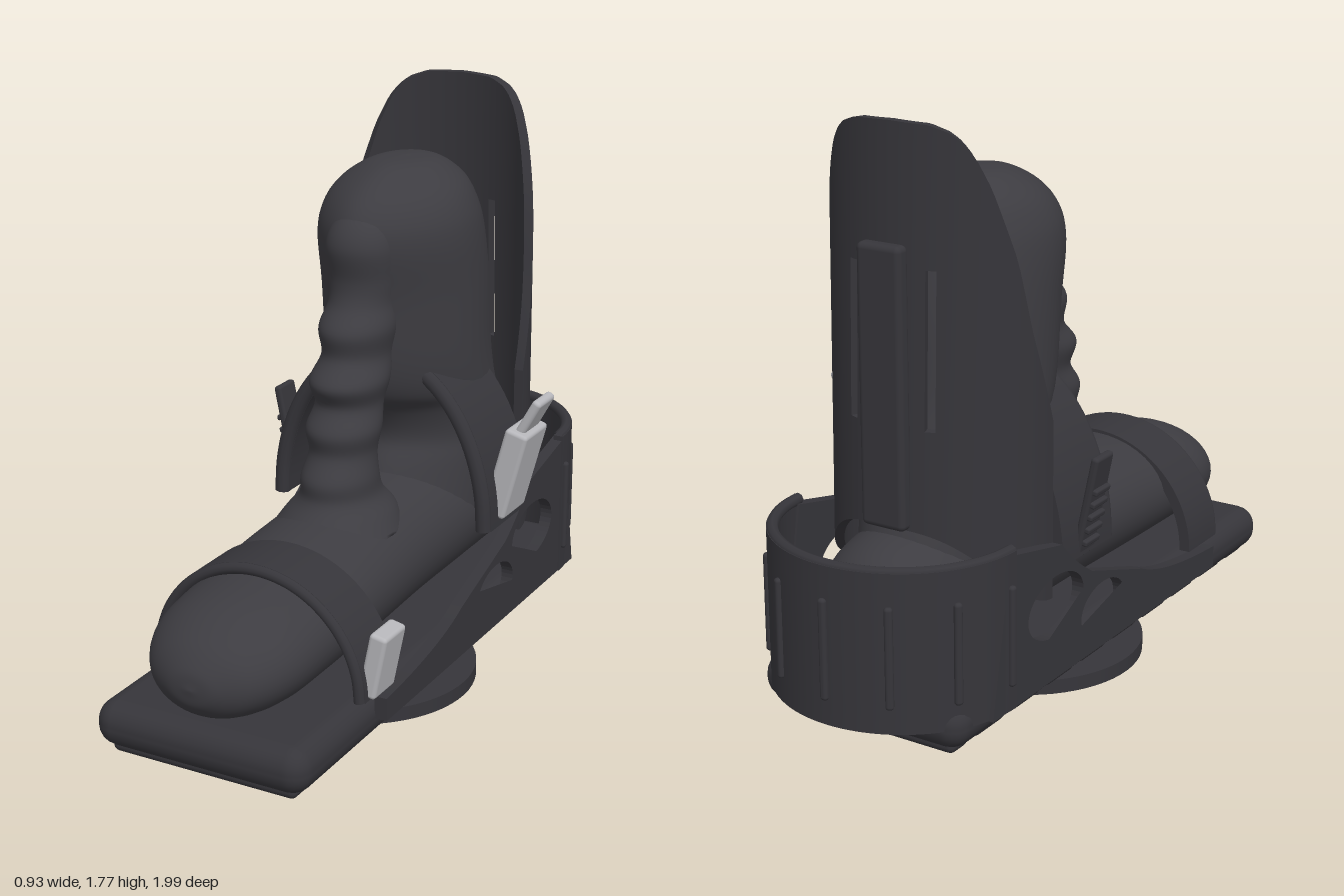
import * as THREE from 'three';
import { mergeVertices } from 'three/addons/utils/BufferGeometryUtils.js';
import { RoundedBoxGeometry } from 'three/addons/geometries/RoundedBoxGeometry.js';

const CX = -0.035; // centre line of the binding

const mat = (name, color) => {
  const m = new THREE.MeshStandardMaterial({ color });
  m.name = name;
  return m;
};

// Smooth closed skin through elliptical sections [position, half width, low, high].
function loft(sections, place, rows = 64, sides = 40) {
  const a = new THREE.CatmullRomCurve3(sections.map(s => new THREE.Vector3(s[0], s[1], 0)), false, 'catmullrom', 0.5);
  const b = new THREE.CatmullRomCurve3(sections.map(s => new THREE.Vector3(s[2], s[3], 0)), false, 'catmullrom', 0.5);
  const pos = [], idx = [];
  for (let j = 0; j <= rows; j++) {
    const p = a.getPoint(j / rows), q = b.getPoint(j / rows);
    for (let i = 0; i < sides; i++) {
      const t = (i / sides) * Math.PI * 2;
      pos.push(...place(p.x, Math.cos(t) * p.y, (q.x + q.y) / 2 + Math.sin(t) * (q.y - q.x) / 2, Math.sin(t)));
      if (j < rows) {
        const k = (i + 1) % sides, r = j * sides;
        idx.push(r + i, r + k, r + sides + i, r + k, r + sides + k, r + sides + i);
      }
    }
  }
  // close both ends
  for (let i = 1; i < sides - 1; i++) {
    const r = rows * sides;
    idx.push(0, i + 1, i, r, r + i, r + i + 1);
  }
  const g = new THREE.BufferGeometry();
  g.setAttribute('position', new THREE.Float32BufferAttribute(pos, 3));
  g.setIndex(idx);
  g.computeVertexNormals();
  return g;
}

// Slab bent by rule f(u, v, s), u and v along the sheet, s from inside to outside.
function slab(nu, nv, f) {
  const g = new THREE.BoxGeometry(1, 1, 1, nu, nv, 1), p = g.attributes.position;
  for (let i = 0; i < p.count; i++) p.setXYZ(i, ...f(p.getX(i) + 0.5, p.getY(i) + 0.5, p.getZ(i) + 0.5));
  g.deleteAttribute('uv');
  const out = mergeVertices(g);
  out.computeVertexNormals();
  return out;
}

function lerpTable(table, x) {
  for (let i = 1; i < table.length; i++) {
    const [x0, y0] = table[i - 1], [x1, y1] = table[i];
    if (x <= x1) return y0 + (y1 - y0) * (x - x0) / (x1 - x0);
  }
  return table[table.length - 1][1];
}

export function createModel() {
  const root = new THREE.Group();
  root.name = 'bootInBinding';
  const boot = mat('charcoal boot', 0x3d3c41);
  const frame = mat('dark plastic', 0x36353a);
  const silver = mat('silver', 0xb6b6ba);

  const add = (name, geo, material, x = 0, y = 0, z = 0, rz = 0) => {
    const m = new THREE.Mesh(geo, material);
    m.name = name;
    m.position.set(x, y, z);
    m.rotation.z = rz;
    root.add(m);
    return m;
  };
  const block = (name, w, h, d, r, material, x, y, z, rz) =>
    add(name, new RoundedBoxGeometry(w, h, d, 3, r), material, x, y, z, rz);

  // Mounting disc
  add('mountingDisc', new THREE.CylinderGeometry(0.365, 0.365, 0.045, 64), frame, CX, 0.0225, 0.045);

  // Base plate with treads
  block('basePlate', 0.69, 0.14, 1.84, 0.065, frame, CX, 0.16, 0.07);
  const gaps = [0.97, 0.81, 0.62, 0.43, 0.24, 0.05, -0.14, -0.33, -0.52, -0.71, -0.83];
  for (let i = 1; i < gaps.length; i++) {
    const d = gaps[i - 1] - gaps[i] - 0.035;
    block('tread', 0.6, 0.07, d, 0.02, frame, CX, 0.105, (gaps[i - 1] + gaps[i]) / 2);
  }

  // Side rails with two oval windows
  const rail = new THREE.Shape();
  rail.moveTo(0.575, 0.16);
  rail.lineTo(0.575, 0.23);
  rail.quadraticCurveTo(0.25, 0.25, 0.1, 0.32);
  rail.lineTo(-0.2, 0.42);
  rail.quadraticCurveTo(-0.3, 0.48, -0.37, 0.56);
  rail.lineTo(-0.64, 0.62);
  rail.lineTo(-0.73, 0.16);
  rail.closePath();
  for (const [z, y, rx, ry] of [[-0.135, 0.285, 0.125, 0.08], [-0.4, 0.385, 0.15, 0.092]]) {
    const hole = new THREE.Path();
    hole.absellipse(z, y, rx, ry, 0, Math.PI * 2, true);
    rail.holes.push(hole);
  }
  const railGeo = new THREE.ExtrudeGeometry(rail, { depth: 0.038, bevelEnabled: false, curveSegments: 20 });
  railGeo.rotateY(-Math.PI / 2);
  for (const s of [-1, 1]) add(s > 0 ? 'leftRail' : 'rightRail', railGeo, frame, CX + s * 0.361 + 0.019, 0, 0);

  // Heel cup with upright ribs
  add('heelCup', slab(48, 8, (u, v, s) => {
    const t = (u - 0.5) * Math.PI, r = 0.352 + 0.032 * s;
    return [CX - r * Math.sin(t), 0.16 + 0.47 * v, -0.615 - (r - 0.015) * Math.cos(t)];
  }), frame);
  const cupPoint = (t, r) => [CX + r * Math.sin(t), -0.615 - (r - 0.015) * Math.cos(t)];
  add('heelCupRim', new THREE.TubeGeometry(new THREE.CatmullRomCurve3(
    Array.from({ length: 17 }, (_, i) => {
      const [x, z] = cupPoint((i / 16 - 0.5) * Math.PI, 0.366);
      return new THREE.Vector3(x, 0.625, z);
    })), 48, 0.018, 8), frame);
  for (let i = -3; i <= 3; i++) {
    const [x, z] = cupPoint(i * 0.5, 0.384);
    block('heelCupRib', 0.024, 0.3, 0.026, 0.01, frame, x, 0.385, z).rotation.y = -i * 0.5;
  }

  // High back: curved shell in strips, leaving a slot either side of the spine
  const topEdge = [[0, 1.775], [20, 1.77], [30, 1.75], [36, 1.725], [42, 1.685], [50, 1.6], [64, 1.4], [73, 1.2], [90, 0.92]];
  const strip = (t0, t1, nu, y0, y1) => add('highBack', slab(nu, 24, (u, v, s) => {
    const t = t0 + (t1 - t0) * u, a = Math.abs(Math.sin(t));
    const lo = y0 ?? 0.64 - 0.25 * a ** 3;
    const hi = y1 ?? lerpTable(topEdge, Math.abs(t) * 180 / Math.PI);
    const y = lo + (hi - lo) * v, r = 0.32 + 0.028 * s;
    return [CX - r * Math.sin(t), y, -0.37 - (r - 0.035 - 0.035 * (y - 0.64) / 1.13) * Math.cos(t)];
  }), frame);
  strip(-Math.PI / 2, -0.42, 24);
  strip(-0.33, 0.33, 14);
  strip(0.42, Math.PI / 2, 24);
  for (const [a, b] of [[-0.42, -0.33], [0.33, 0.42]]) {
    strip(a, b, 2, undefined, 0.93);
    strip(a, b, 2, 1.38, undefined);
  }
  block('highBackSpine', 0.145, 0.81, 0.05, 0.018, frame, CX, 1.045, -0.685);

  // Boot: foot, shaft and ridged tongue
  add('bootFoot', loft([
    [-0.84, 0.01, 0.39, 0.4], [-0.825, 0.1, 0.3, 0.5], [-0.75, 0.19, 0.24, 0.58], [-0.6, 0.23, 0.22, 0.62],
    [-0.3, 0.24, 0.22, 0.63], [0, 0.24, 0.22, 0.62], [0.3, 0.25, 0.22, 0.6], [0.6, 0.25, 0.22, 0.56],
    [0.8, 0.235, 0.22, 0.53], [0.92, 0.175, 0.24, 0.475], [0.98, 0.085, 0.29, 0.41], [0.995, 0.01, 0.345, 0.355],
  ], (z, x, y) => [x - 0.04, y, z]), boot);
  const upright = (y, x, z, f) => [x * (1 - 0.3 * Math.max(0, f) ** 2) - 0.04, y, z];
  add('bootShaft', loft([
    [1.585, 0.01, -0.28, -0.25], [1.572, 0.1, -0.38, -0.12], [1.52, 0.18, -0.46, 0], [1.45, 0.225, -0.5, 0.07],
    [1.36, 0.245, -0.53, 0.09], [1.2, 0.25, -0.56, 0.06], [1, 0.25, -0.58, 0.04], [0.89, 0.25, -0.6, 0],
    [0.82, 0.25, -0.61, -0.08], [0.72, 0.25, -0.62, -0.12], [0.63, 0.25, -0.66, -0.08], [0.45, 0.24, -0.72, 0],
  ], upright), boot);
  add('bootTongue', loft([
    [1.48, 0.02, -0.08, 0.01], [1.44, 0.085, -0.1, 0.085], [1.37, 0.11, -0.1, 0.12], [1.27, 0.105, -0.1, 0.105],
    [1.2, 0.1, -0.1, 0.12], [1.13, 0.112, -0.1, 0.175], [1.05, 0.1, -0.08, 0.17], [0.98, 0.115, -0.05, 0.23],
    [0.91, 0.1, -0.02, 0.205], [0.84, 0.112, 0.005, 0.25], [0.77, 0.1, 0.02, 0.243], [0.7, 0.112, 0.02, 0.285],
    [0.64, 0.12, 0, 0.29], [0.59, 0.16, -0.04, 0.335], [0.54, 0.19, -0.06, 0.4],
  ], (y, x, z) => [x - 0.04, y, z], 96), boot);

  // Arched straps with a beaded front edge
  const strap = (name, y0, rx, ry, th, z0, z1) => {
    add(name, slab(40, 4, (u, v, s) => {
      const t = u * Math.PI, d = th * (1 - s);
      return [CX + (rx - d) * Math.cos(t), y0 + (ry - d) * Math.sin(t), z0 + (z1 - z0) * v];
    }), frame);
    const pts = Array.from({ length: 17 }, (_, i) => {
      const t = i / 16 * Math.PI;
      return new THREE.Vector3(CX + (rx - th / 2) * Math.cos(t), y0 + (ry - th / 2) * Math.sin(t), z1);
    });
    add(name + 'Bead', new THREE.TubeGeometry(new THREE.CatmullRomCurve3(pts), 48, th / 2, 10), frame);
  };
  strap('ankleStrap', 0.49, 0.38, 0.54, 0.05, -0.365, -0.095);
  strap('toeStrap', 0.24, 0.35, 0.35, 0.035, 0.465, 0.645);

  // Silver buckles
  block('ankleBuckle', 0.075, 0.29, 0.16, 0.012, silver, 0.36, 0.66, -0.225, -0.26);
  block('ankleBuckleLever', 0.03, 0.16, 0.115, 0.012, silver, 0.415, 0.83, -0.225, -0.5);
  block('toeBuckle', 0.055, 0.2, 0.125, 0.012, silver, 0.325, 0.345, 0.565, -0.2);

  // Ladder strap on the other side
  block('ladderStrap', 0.025, 0.32, 0.095, 0.01, frame, -0.43, 0.64, -0.23, 0.2);
  for (let i = 0; i < 5; i++) {
    block('ladderTooth', 0.02, 0.018, 0.08, 0.006, frame, -0.425 - i * 0.008, 0.53 + i * 0.04, -0.23, 0.2);
  }
  return root;
}
